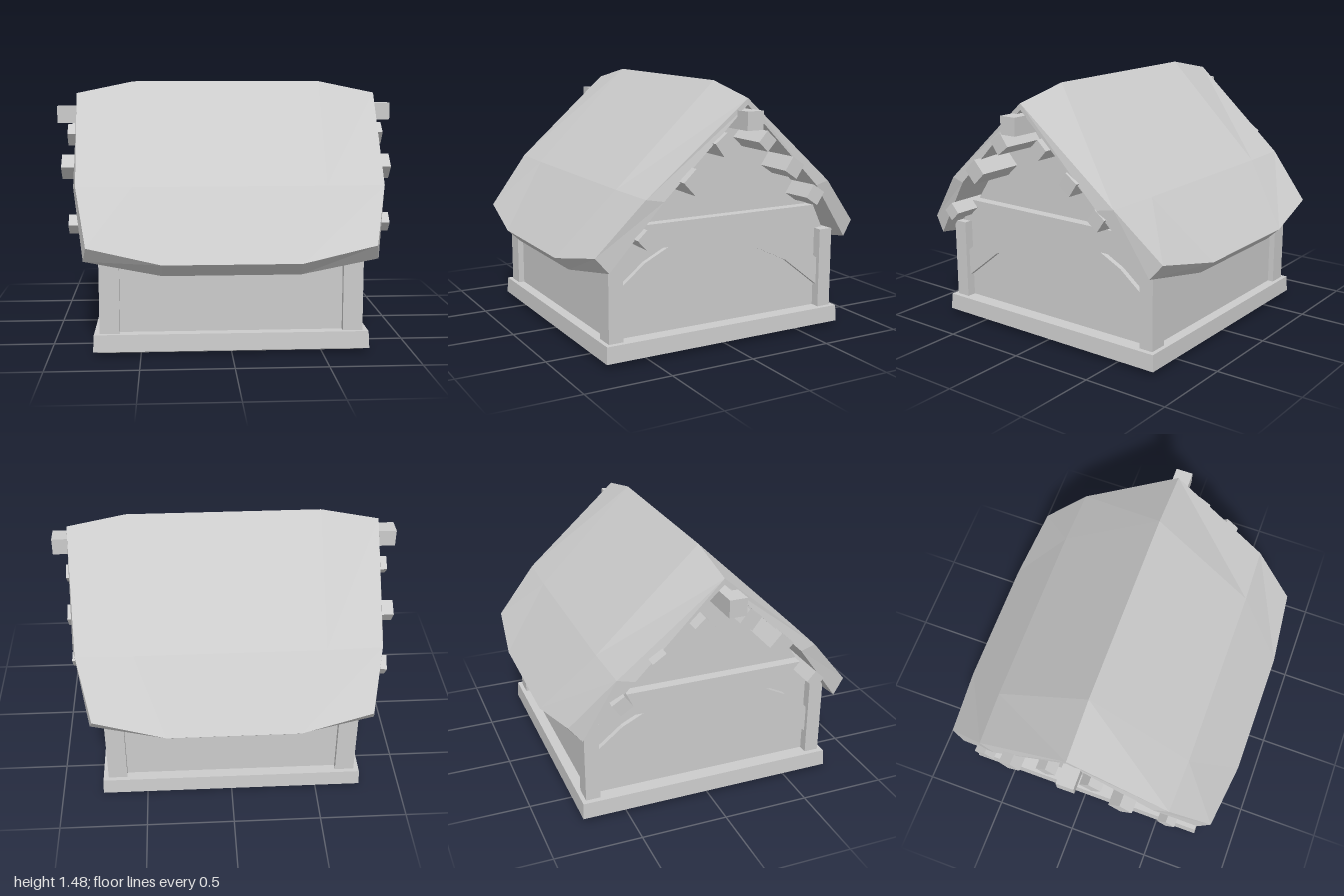
import * as THREE from 'three';

const mat = new THREE.MeshStandardMaterial({ color: 0xcccccc, flatShading: true, side: THREE.DoubleSide });

function add(parent, name, geometry, x = 0, y = 0, z = 0) {
  const mesh = new THREE.Mesh(geometry, mat);
  mesh.name = name;
  mesh.position.set(x, y, z);
  parent.add(mesh);
  return mesh;
}

// Slab cut from a (z, y) outline, centred on the given x
function gableSlab(parent, name, outline, depth, x) {
  const shape = new THREE.Shape(outline.map(([z, y]) => new THREE.Vector2(-z, y)));
  const geometry = new THREE.ExtrudeGeometry(shape, { depth, bevelEnabled: false });
  geometry.translate(0, 0, -depth / 2);
  geometry.rotateY(Math.PI / 2);
  return add(parent, name, geometry, x);
}

// Square beam between two points, rolled about its length
function beam(parent, name, from, to, size, roll) {
  const a = new THREE.Vector3(...from), b = new THREE.Vector3(...to);
  const geometry = new THREE.BoxGeometry(size, size, a.distanceTo(b));
  geometry.rotateZ(roll);
  const mesh = add(parent, name, geometry);
  mesh.position.copy(a).add(b).multiplyScalar(0.5);
  mesh.lookAt(b);
  return mesh;
}

// Thick roof: closed cross-sections joined along x, drooping at the gable ends
function roofGeometry() {
  // x at ridge, bend and eave, then how far the section is drawn in (0 to 1)
  const stations = [
    [-0.89, -0.855, -0.785, 1], [-0.55, -0.54, -0.38, 0],
    [0.57, 0.54, 0.37, 0], [0.91, 0.865, 0.78, 1]
  ];
  const positions = [], index = [], n = 10;
  for (const [xr, xb, xe, e] of stations) {
    const out = Math.sign(xr) * 0.02 * e;
    const half = (side) => {
      const lift = side < 0 ? 0.025 : 0;
      return {
        eave: [xe, 0.53 + 0.085 * e + lift, side * (0.88 - 0.05 * e)],
        bend: [xb, 0.91, side * (0.59 - 0.01 * e)],
        bendIn: [xb + out, 0.895, side * 0.485],
        eaveIn: [xe + out, 0.455 + 0.075 * e + lift, side * (0.80 - 0.04 * e)]
      };
    };
    const f = half(1), b = half(-1);
    const ridge = [xr, 1.475 - 0.07 * e, 0], ridgeIn = [xr, 1.395 - 0.025 * e, 0];
    const loop = [f.eave, f.bend, ridge, b.bend, b.eave, b.eaveIn, b.bendIn, ridgeIn, f.bendIn, f.eaveIn];
    positions.push(...loop.flat());
  }
  const quad = (a, b, c, d) => index.push(a, b, c, a, c, d);
  const last = (stations.length - 1) * n;
  for (let s = 0; s < last; s += n) {
    for (let i = 0; i < n; i++) {
      const j = (i + 1) % n;
      quad(s + i, s + n + i, s + n + j, s + j);
    }
  }
  for (let i = 0; i < 4; i++) {
    quad(last + i, last + 9 - i, last + 8 - i, last + i + 1);
    quad(i, i + 1, 8 - i, 9 - i);
  }
  const geometry = new THREE.BufferGeometry();
  geometry.setAttribute('position', new THREE.Float32BufferAttribute(positions, 3));
  geometry.setIndex(index);
  geometry.computeVertexNormals();
  return geometry;
}

export function createModel() {
  const model = new THREE.Group();
  model.name = 'gabledShelter';

  // Square sill frame, open in the middle, with a chamfered foot
  const profile = [[0.65, 0], [0.69, 0], [0.76, 0.025], [0.755, 0.12], [0.65, 0.12], [0.65, 0]]
    .map(([r, y]) => new THREE.Vector2(r * Math.SQRT2, y));
  add(model, 'baseFrame', new THREE.LatheGeometry(profile, 4, Math.PI / 4));

  // Corner posts
  for (const sx of [-1, 1]) {
    for (const sz of [-1, 1]) {
      add(model, 'cornerPost', new THREE.BoxGeometry(0.11, 0.49, 0.085), sx * 0.67, 0.345, sz * 0.688);
    }
  }

  // Eave walls with their top plates
  for (const sz of [-1, 1]) {
    add(model, 'eaveWall', new THREE.BoxGeometry(1.28, 0.48, 0.02), 0, 0.33, sz * 0.685);
    add(model, 'topPlate', new THREE.BoxGeometry(1.28, 0.07, 0.07), 0, 0.555, sz * 0.675);
  }

  // Gable ends: wall, tie beam and arched brace
  const wall = [[0.69, 0.09], [0.69, 0.57], [0.48, 0.88], [0, 1.375], [-0.48, 0.88], [-0.69, 0.57], [-0.69, 0.09]];
  const tie = [[0.65, 0.61], [0.585, 0.745], [-0.585, 0.745], [-0.65, 0.61]];
  const braceHalf = [[0, 0.58], [0.21, 0.53], [0.42, 0.43], [0.65, 0.25], [0.65, 0.41], [0.5, 0.53], [0.33, 0.615]];
  const mirrored = braceHalf.slice(1).reverse().map(([z, y]) => [-z, y]);
  const brace = [...braceHalf, ...mirrored];
  for (const sx of [-1, 1]) {
    gableSlab(model, 'gableWall', wall, 0.02, sx * 0.66);
    gableSlab(model, 'tieBeam', tie, 0.12, sx * 0.67);
    gableSlab(model, 'archBrace', brace, 0.07, sx * 0.665);
  }

  // Ridge beam and purlins running through both gables
  beam(model, 'ridgeBeam', [-1, 1.28, 0.03], [1, 1.295, 0.01], 0.1, 0);
  const purlins = [
    [[-0.93, 1.165, 0.14], [0.93, 1.17, 0.145], 0.09, 0.65],
    [[-0.95, 0.995, 0.32], [0.94, 0.99, 0.33], 0.1, 0.75],
    [[-0.89, 0.705, 0.58], [0.885, 0.705, 0.585], 0.075, 0.75],
    [[-0.93, 1.165, -0.12], [0.92, 1.17, -0.125], 0.08, -0.75],
    [[-0.94, 1.0, -0.35], [0.91, 1.01, -0.315], 0.09, -0.6],
    [[-0.885, 0.77, -0.56], [0.885, 0.84, -0.48], 0.085, -0.6]
  ];
  for (const [from, to, size, roll] of purlins) beam(model, 'purlin', from, to, size, roll);

  add(model, 'roof', roofGeometry());
  return model;
}
